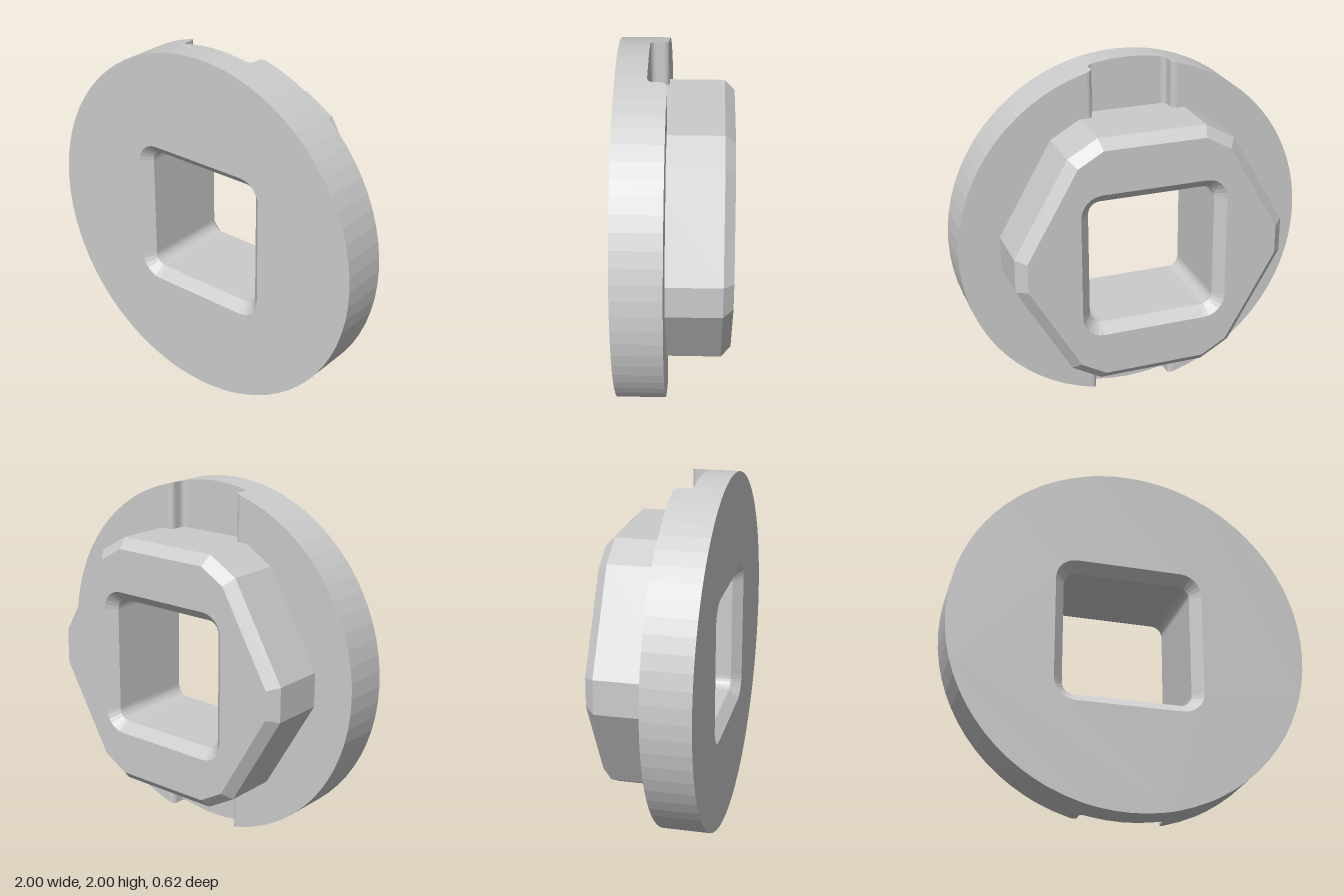
import * as THREE from 'three';

const FRONT = 0.31, STEP = 0.045, SLOT = 0.145, BACK = -0.31, CHAMFER = 0.055;
const material = new THREE.MeshStandardMaterial({ color: 0xcccccc, flatShading: true });

function mesh(name, geometry) {
  const m = new THREE.Mesh(geometry, material);
  m.name = name;
  return m;
}

// Flat-shaded surface from a list of quads [a, b, c, d]
function quadGeometry(quads) {
  const pos = [];
  for (const [a, b, c, d] of quads) pos.push(...a, ...b, ...c, ...a, ...c, ...d);
  const g = new THREE.BufferGeometry();
  g.setAttribute('position', new THREE.Float32BufferAttribute(pos, 3));
  g.computeVertexNormals();
  return g;
}

// Skin between closed outlines, listed front to back as { pts, z }
function loft(rings, inward) {
  const quads = [];
  for (let j = 0; j < rings.length - 1; j++) {
    const f = rings[j], b = rings[j + 1], n = f.pts.length;
    for (let i = 0; i < n; i++) {
      const k = (i + 1) % n;
      const q = [[...f.pts[i], f.z], [...f.pts[k], f.z], [...b.pts[k], b.z], [...b.pts[i], b.z]];
      quads.push(inward ? q : q.reverse());
    }
  }
  return quadGeometry(quads);
}

// Rounded square outline, counter-clockwise
function roundedSquare(half, r) {
  const pts = [];
  for (let c = 0; c < 4; c++) {
    const mid = Math.PI / 4 + c * Math.PI / 2, d = (half - r) * Math.SQRT2;
    for (let i = 0; i <= 6; i++) {
      const a = mid - Math.PI / 4 + i * Math.PI / 12;
      pts.push([d * Math.cos(mid) + r * Math.cos(a), d * Math.sin(mid) + r * Math.sin(a)]);
    }
  }
  return pts;
}

// Hexagon with clipped corners: flats and corner facets alternate every 30 degrees
function clippedHexagon(inset) {
  const pts = [], dist = (i) => (i % 2 ? 0.713 : 0.768) - inset;
  for (let i = 0; i < 12; i++) {
    const a = i * Math.PI / 6, d0 = dist(i), d1 = dist(i + 1);
    const t = (d1 - d0 * Math.cos(Math.PI / 6)) / Math.sin(Math.PI / 6);
    pts.push([d0 * Math.cos(a) - t * Math.sin(a), d0 * Math.sin(a) + t * Math.cos(a)]);
  }
  return pts;
}

function face(outline, hole) {
  const v = (pts) => pts.map(([x, y]) => new THREE.Vector2(x, y));
  const shape = new THREE.Shape(v(outline));
  shape.holes.push(new THREE.Path(v(hole)));
  return new THREE.ShapeGeometry(shape);
}

// Back profile (x, z) of the flange across one half, with a filleted slot in the middle
function flangeProfile() {
  const right = [], r = 0.03, wall = 0.225;
  for (let i = 0; i <= 4; i++) {
    const a = i * Math.PI / 8;
    right.push([wall - r + r * Math.sin(a), SLOT - r + r * Math.cos(a)]);
  }
  for (let i = 0; i <= 4; i++) {
    const a = i * Math.PI / 8;
    right.push([wall + r - r * Math.cos(a), STEP + r - r * Math.sin(a)]);
  }
  right.push([0.45, STEP]);
  for (let deg = 0; deg < 90; deg += 5) {
    const x = Math.cos(deg * Math.PI / 180);
    if (x < 0.19) right.push([x, SLOT]);
    else if (x > 0.26) right.push([x, STEP]);
  }
  right.sort((a, b) => a[0] - b[0] || b[1] - a[1]);
  return [...right.map(([x, z]) => [-x, z]).reverse(), [0, SLOT], ...right];
}

export function createModel() {
  const group = new THREE.Group();
  const body = new THREE.Group();
  body.name = 'flangedBushing';
  body.position.y = 1;
  group.add(body);

  // Flange rim and slotted back, one half turned round to make the other
  const profile = flangeProfile();
  const rimY = (x) => Math.sqrt(Math.max(0, 1 - x * x));
  const quads = [];
  for (let i = 0; i < profile.length - 1; i++) {
    const [x0, z0] = profile[i], [x1, z1] = profile[i + 1];
    const inner = Math.abs(x0 + x1) / 2 < 0.45 ? 0.5 : 0;
    const a = [x0, rimY(x0), z0], b = [x1, rimY(x1), z1];
    quads.push([a, [x0, a[1], FRONT], [x1, b[1], FRONT], b]);
    quads.push([a, b, [x1, inner, z1], [x0, inner, z0]]);
  }
  const half = quadGeometry(quads);
  const upper = mesh('upperFlange', half);
  const lower = mesh('lowerFlange', half);
  lower.rotation.z = Math.PI;
  body.add(upper, lower);

  // Front face
  const wide = roundedSquare(0.36 + CHAMFER, 0.12), narrow = roundedSquare(0.36, 0.065);
  const xs = [...new Set(profile.map((p) => p[0]))].sort((a, b) => b - a);
  const arc = xs.map((x) => [x, rimY(x)]);
  const rim = [...arc.slice(0, -1), ...arc.map(([x, y]) => [-x, -y]).slice(0, -1)];
  const frontFace = mesh('frontFace', face(rim, wide));
  frontFace.position.z = FRONT;
  body.add(frontFace);

  // Hexagonal boss with chamfered end
  const hex = clippedHexagon(0), hexEnd = clippedHexagon(CHAMFER);
  body.add(mesh('hexBoss', loft([
    { pts: hex, z: SLOT + 0.01 }, { pts: hex, z: BACK + CHAMFER }, { pts: hexEnd, z: BACK },
  ], false)));
  const backFace = mesh('bossEndFace', face(hexEnd, wide));
  backFace.rotation.y = Math.PI;
  backFace.position.z = BACK;
  body.add(backFace);

  // Square through-hole, chamfered at both ends
  body.add(mesh('squareHole', loft([
    { pts: wide, z: FRONT }, { pts: narrow, z: FRONT - CHAMFER },
    { pts: narrow, z: BACK + CHAMFER }, { pts: wide, z: BACK },
  ], true)));

  return group;
}
